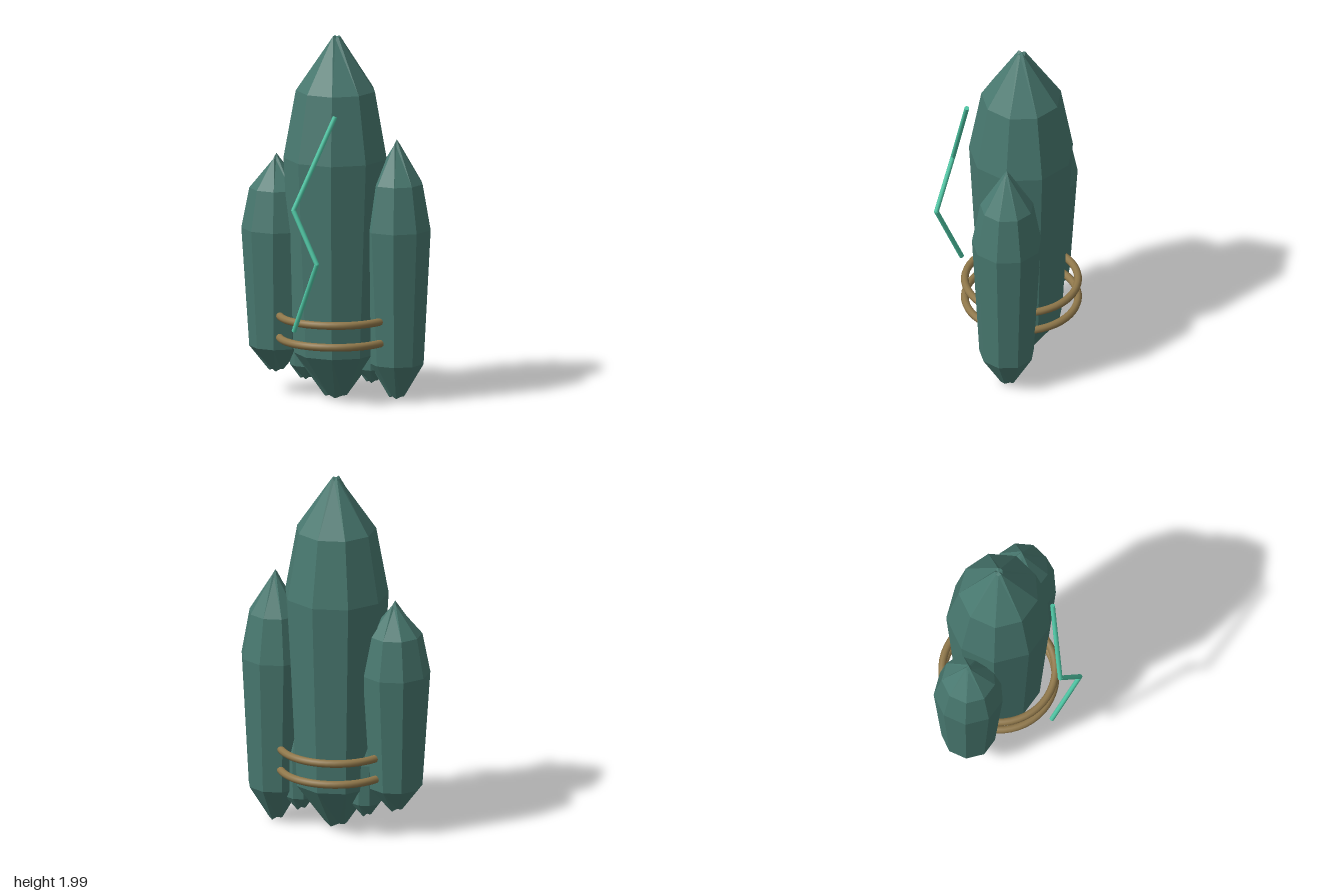
import * as THREE from 'three';

export function createModel() {
  const model = new THREE.Group();
  const teal = new THREE.MeshStandardMaterial({ color: 0x48786f, flatShading: true });
  teal.name = 'teal stone';
  const bronze = new THREE.MeshStandardMaterial({ color: 0x8f774a });
  bronze.name = 'bronze';
  const mint = new THREE.MeshStandardMaterial({ color: 0x50c8a6 });
  mint.name = 'mint glow';

  const add = (name, geometry, material, x = 0, y = 0, z = 0) => {
    const mesh = new THREE.Mesh(geometry, material);
    mesh.name = name;
    mesh.position.set(x, y, z);
    model.add(mesh);
    return mesh;
  };

  // Nine-sided crystal with a corner on +x, slightly ragged at both ends
  const crystal = (name, x, z, profile) => {
    const points = profile.map(([r, y]) => new THREE.Vector2(r, y));
    const geometry = new THREE.LatheGeometry(points, 9, Math.PI / 2);
    const pos = geometry.attributes.position;
    const n = points.length;
    for (let i = 0; i < pos.count; i++) {
      const side = Math.floor(i / n) % 9, ring = i % n;
      if (ring === 1 || ring === n - 2) pos.setY(i, pos.getY(i) + 0.01 * Math.sin(side * 2.4));
    }
    geometry.computeVertexNormals();
    add(name, geometry, teal, x, 0, z);
  };

  crystal('mainCrystal', -0.005, -0.08, [
    [0, 0.02], [0.06, 0.02], [0.228, 0.255], [0.285, 1.33], [0.218, 1.7], [0.022, 1.99], [0, 1.995]]);
  crystal('leftCrystal', 0.33, -0.1, [
    [0, 0.03], [0.04, 0.025], [0.15, 0.21], [0.19, 0.95], [0.145, 1.2], [0.016, 1.41], [0, 1.44]]);
  crystal('rightCrystal', -0.345, -0.1, [
    [0, 0.14], [0.04, 0.14], [0.147, 0.27], [0.19, 0.92], [0.147, 1.14], [0.016, 1.3], [0, 1.33]]);

  // Small shards tucked between the crystals
  for (const s of [1, -1]) {
    crystal(s > 0 ? 'leftShard' : 'rightShard', s * 0.185, -0.12, [
      [0, 0.1], [0.03, 0.1], [0.085, 0.17], [0.095, 0.4], [0.07, 0.5], [0.012, 0.58], [0, 0.59]]);
  }

  // Binding rings
  for (const [name, y] of [['lowerRing', 0.34], ['upperRing', 0.46]]) {
    add(name, new THREE.TorusGeometry(0.306, 0.021, 10, 48), bronze, -0.005, y, -0.08).rotation.x = Math.PI / 2;
  }

  // Zigzag energy vein in front
  const path = [[0.07, 1.61, 0.205], [-0.125, 1.11, 0.342], [0.02, 0.83, 0.392], [-0.135, 0.435, 0.297]]
    .map(p => new THREE.Vector3(...p));
  const vein = new THREE.CurvePath();
  for (let i = 0; i < 3; i++) {
    const [a, b] = [path[i], path[i + 1]];
    const rod = add('veinSegment', new THREE.CylinderGeometry(0.013, 0.013, a.distanceTo(b), 10), mint);
    rod.position.addVectors(a, b).multiplyScalar(0.5);
    rod.quaternion.setFromUnitVectors(new THREE.Vector3(0, 1, 0), a.clone().sub(b).normalize());
    if (i) add('veinJoint', new THREE.SphereGeometry(0.013, 10, 8), mint, a.x, a.y, a.z);
  }
  return model;
}
